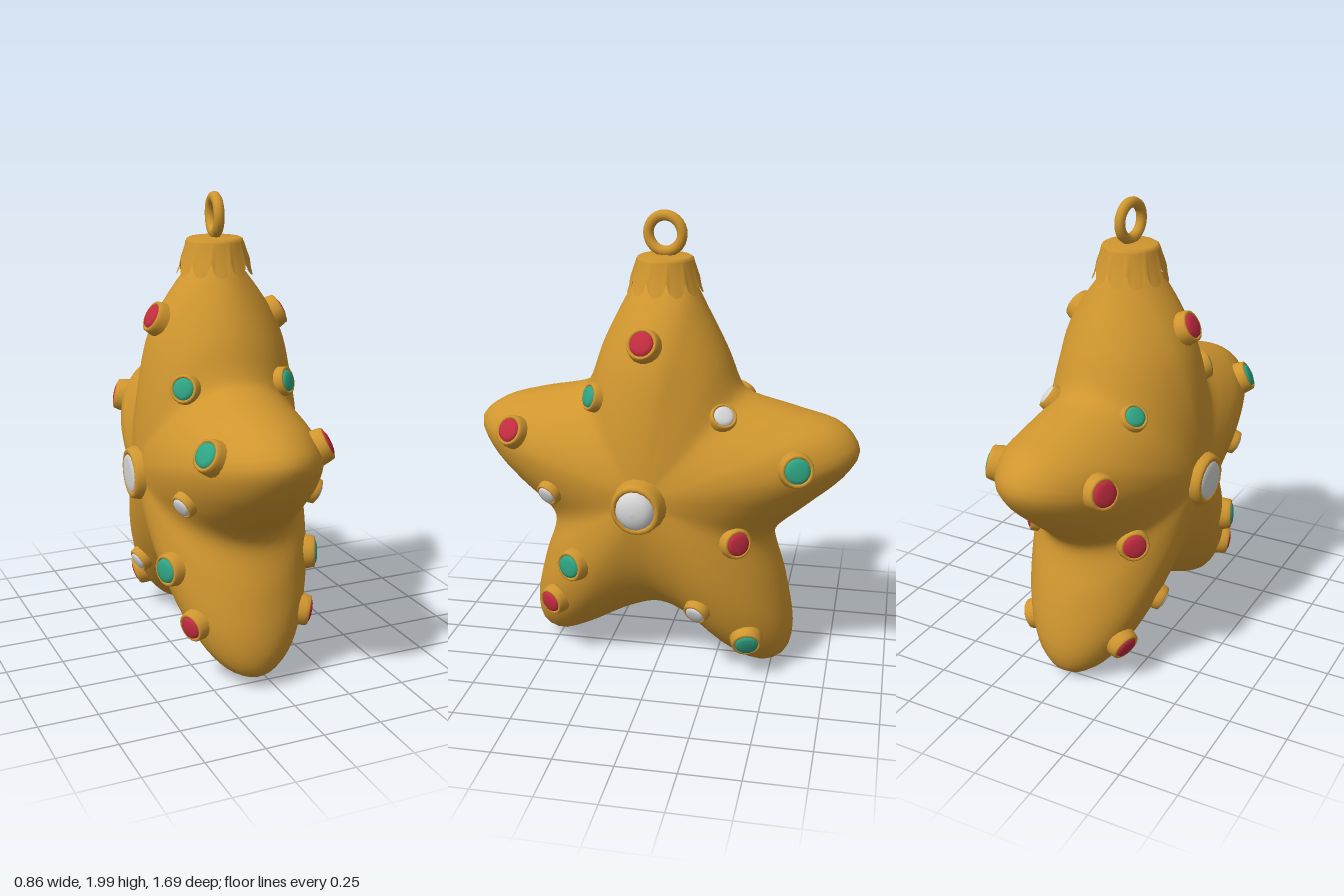
import * as THREE from 'three';
import { mergeVertices } from 'three/addons/utils/BufferGeometryUtils.js';

const mat = (name, color) => {
  const m = new THREE.MeshStandardMaterial({ color });
  m.name = name;
  return m;
};
const gold = mat('gold', 0xd0962f);
const gems = { red: mat('red gem', 0xc42c40), green: mat('green gem', 0x2fa583), white: mat('white gem', 0xd6d6d6) };
const goldOpen = mat('gold open', 0xd0962f);
goldOpen.side = THREE.DoubleSide;

const CENTRE_Y = 0.84, HALF_DEPTH = 0.36;

// Star outline as [z, y]
const outline = [
  [0, 1.8], [0.09, 1.76], [0.17, 1.63], [0.26, 1.45], [0.335, 1.26], [0.38, 1.235], [0.58, 1.19], [0.75, 1.135],
  [0.845, 1.05], [0.8, 0.93], [0.68, 0.8], [0.52, 0.66], [0.5, 0.6], [0.555, 0.42], [0.6, 0.18], [0.57, 0.07],
  [0.49, 0.035], [0.36, 0.08], [0.14, 0.2], [0, 0.24], [-0.13, 0.2], [-0.34, 0.05], [-0.48, 0.005], [-0.56, 0.05],
  [-0.59, 0.15], [-0.555, 0.38], [-0.495, 0.6], [-0.51, 0.65], [-0.65, 0.78], [-0.8, 0.92], [-0.85, 1.02],
  [-0.78, 1.125], [-0.6, 1.18], [-0.38, 1.235], [-0.34, 1.26], [-0.27, 1.42], [-0.18, 1.6], [-0.09, 1.76],
].map(([z, y]) => new THREE.Vector3(z, y - CENTRE_Y, 0));
const rim = new THREE.CatmullRomCurve3(outline, true).getPoints(300);

// Distance from the centre to the outline along an angle
function reach(angle) {
  const dz = Math.cos(angle), dy = Math.sin(angle);
  for (let i = 0; i < rim.length - 1; i++) {
    const a = rim[i], b = rim[i + 1];
    const ca = dz * a.y - dy * a.x, cb = dz * b.y - dy * b.x;
    if ((ca <= 0) === (cb <= 0)) continue;
    const k = ca / (ca - cb);
    const d = (a.x + (b.x - a.x) * k) * dz + (a.y + (b.y - a.y) * k) * dy;
    if (d > 0) return d;
  }
  return 0.5;
}

// The upper point narrows towards the cap
const taper = (y) => 1 - 3 * Math.max(0, y - 1.35) ** 2;

// Half thickness of the star at (z, y)
function depth(z, y) {
  const t = Math.hypot(z, y - CENTRE_Y) / reach(Math.atan2(y - CENTRE_Y, z));
  return HALF_DEPTH * Math.sqrt(Math.max(0, 1 - t * t)) * taper(y);
}

// Puffed star: a sphere stretched out to the outline
function starGeometry() {
  let g = new THREE.SphereGeometry(1, 150, 40);
  const p = g.attributes.position;
  for (let i = 0; i < p.count; i++) {
    const sx = p.getX(i), sy = p.getY(i), sz = p.getZ(i);
    const r = Math.hypot(sx, sz) < 1e-6 ? 0 : reach(Math.atan2(sz, sx));
    const y = CENTRE_Y + sz * r;
    p.setXYZ(i, HALF_DEPTH * sy * taper(y), y, sx * r);
  }
  g.deleteAttribute('uv');
  g.deleteAttribute('normal');
  g = mergeVertices(g, 1e-5);
  g.computeVertexNormals();
  return g;
}

const lathe = (pts) => new THREE.LatheGeometry(pts.map(([x, y]) => new THREE.Vector2(x, y)), 18);

// Gem in a raised round setting, standing along +y
function jewel(color, r, h, dome) {
  const g = new THREE.Group();
  g.name = color + 'Jewel';
  const setting = new THREE.Mesh(lathe([
    [r * 1.12, -0.05], [r * 1.04, 0], [r, h * 0.5], [r * 0.95, h * 0.9], [r * 0.86, h], [r * 0.76, h * 0.95], [r * 0.7, h * 0.6],
  ]), gold);
  setting.name = 'setting';
  const stone = new THREE.Mesh(lathe([
    [r * 0.75, h * 0.8], [r * 0.7, h + dome * 0.3], [r * 0.5, h + dome * 0.75], [r * 0.25, h + dome * 0.95], [0, h + dome],
  ]), gems[color]);
  stone.name = 'stone';
  g.add(setting, stone);
  return g;
}

// z, y, setting radius, colour on the +x face, colour on the -x face
const jewels = [
  [0.02, 1.48, 0.07, 'red', 'red'],
  [0.25, 1.23, 0.062, 'green', 'green'],
  [-0.3, 1.18, 0.058, 'white', 'green'],
  [0.62, 1.05, 0.07, 'red', 'green'],
  [-0.62, 1.0, 0.073, 'green', 'red'],
  [0.44, 0.81, 0.055, 'white', 'white'],
  [0.015, 0.82, 0.112, 'white', 'white'],
  [-0.37, 0.65, 0.068, 'red', 'red'],
  [0.33, 0.49, 0.07, 'green', 'green'],
  [-0.22, 0.33, 0.056, 'white', 'white'],
  [0.445, 0.28, 0.065, 'red', 'red'],
  [-0.425, 0.19, 0.068, 'green', 'red'],
];

// Cap skirt: a flared tube with a scalloped lower edge
function skirtGeometry() {
  const lobes = 11;
  const g = new THREE.CylinderGeometry(1, 1, 1, lobes * 8, 4, true);
  const p = g.attributes.position;
  for (let i = 0; i < p.count; i++) {
    const a = Math.atan2(p.getZ(i), p.getX(i));
    const down = 0.5 - p.getY(i);
    const lobe = Math.abs(Math.cos((a * lobes) / 2));
    const r = 0.122 + 0.026 * down + 0.014 * down * down * lobe;
    p.setXYZ(i, Math.cos(a) * r, 1.795 - down * (0.075 + 0.062 * Math.sqrt(lobe)), Math.sin(a) * r);
  }
  g.computeVertexNormals();
  return g;
}

export function createModel() {
  const model = new THREE.Group();
  model.name = 'starOrnament';
  const body = new THREE.Group();
  body.name = 'body';
  body.position.x = -0.03;
  body.rotation.y = -0.075;
  model.add(body);
  const add = (name, geometry, material) => {
    const m = new THREE.Mesh(geometry, material);
    m.name = name;
    body.add(m);
    return m;
  };

  add('star', starGeometry(), gold);

  // Jewels on both faces, each facing along the surface normal
  const up = new THREE.Vector3(0, 1, 0), e = 0.02;
  for (const [z, y, r, front, back] of jewels) {
    const x = depth(z, y);
    const sz = (depth(z + e, y) - depth(z - e, y)) / (2 * e);
    const sy = (depth(z, y + e) - depth(z, y - e)) / (2 * e);
    for (const side of [1, -1]) {
      const big = r > 0.1;
      const h = big ? (side > 0 ? 0.065 : 0.035) : r * 0.55;
      const j = jewel(side > 0 ? front : back, r, h, big ? (side > 0 ? 0.035 : 0.005) : 0.01);
      j.position.set(side * x, y, z);
      j.quaternion.setFromUnitVectors(up, new THREE.Vector3(side, -sy, -sz).normalize());
      body.add(j);
    }
  }

  // Cap and hanging loop
  add('capSkirt', skirtGeometry(), goldOpen);
  add('capTop', lathe([[0.122, 1.79], [0.12, 1.803], [0.108, 1.811], [0, 1.814]]), gold);
  const loop = add('hangingLoop', new THREE.TorusGeometry(0.075, 0.023, 10, 28), gold);
  loop.position.y = 1.902;
  loop.rotation.y = Math.PI / 2 - 0.08;

  return model;
}
